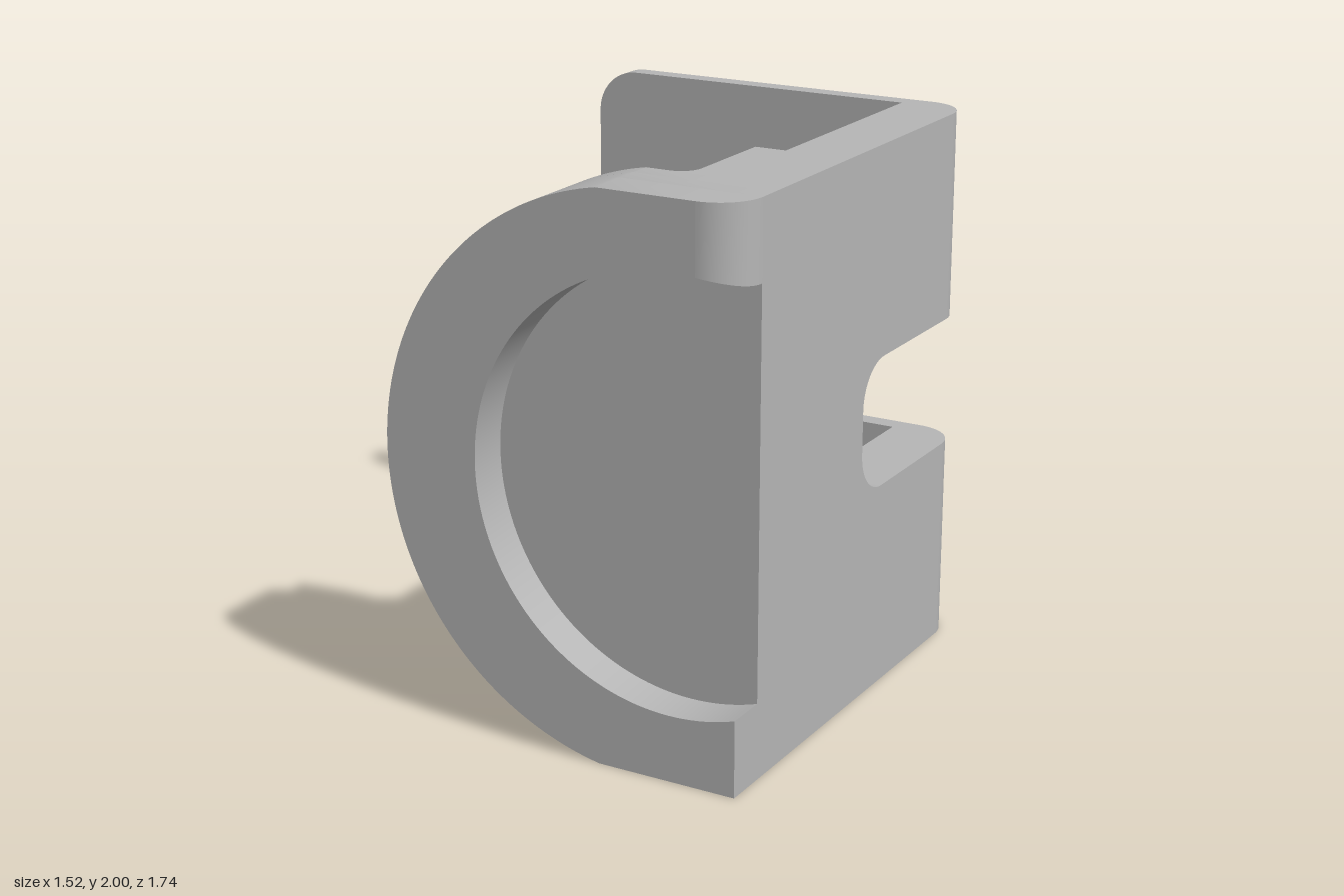
import * as THREE from 'three';
import { toCreasedNormals } from 'three/addons/utils/BufferGeometryUtils.js';

const X_RIGHT = 0.76, HEIGHT = 2, Z_FRONT = 0.87, FLOOR = 0.715, FILLET = 0.155;
const DISC = { x: 0.415, r: 1.015 };   // outer disc, centred at y = 1
const RECESS = { x: 0.52, r: 0.76 };   // round recess, centred at y = 1

export function createModel() {
  const group = new THREE.Group();
  const grey = new THREE.MeshStandardMaterial({ color: 0xb6b6b6 });
  grey.name = 'plain grey';

  const add = (name, geometry) => {
    const mesh = new THREE.Mesh(toCreasedNormals(geometry, 0.5), grey);
    mesh.name = name;
    group.add(mesh);
  };
  const extrude = (shape, from, to) =>
    new THREE.ExtrudeGeometry(shape, { depth: to - from, bevelEnabled: false, curveSegments: 48 })
      .translate(0, 0, from);
  // Shapes drawn with u = -z are turned to run along x; with v = -z, along y
  const alongX = (shape, from, to) => extrude(shape, from, to).rotateY(Math.PI / 2);
  const alongY = (shape, from, to) => extrude(shape, from, to).rotateX(-Math.PI / 2);
  const box = (name, x0, x1, y0, y1, z0, z1) =>
    add(name, new THREE.BoxGeometry(x1 - x0, y1 - y0, z1 - z0)
      .translate((x0 + x1) / 2, (y0 + y1) / 2, (z0 + z1) / 2));

  // Disc outline between its flat top and bottom, cut off left of xLeft
  const flatX = DISC.x - Math.sqrt(DISC.r ** 2 - 1);
  const discSide = (shape, xLeft) => {
    const top = Math.atan2(1, flatX - DISC.x);
    if (xLeft <= DISC.x - DISC.r) {
      shape.absarc(DISC.x, 1, DISC.r, top, 2 * Math.PI - top, false);
    } else {
      const cut = Math.acos((xLeft - DISC.x) / DISC.r);
      shape.absarc(DISC.x, 1, DISC.r, top, cut, false);
      shape.absarc(DISC.x, 1, DISC.r, 2 * Math.PI - cut, 2 * Math.PI - top, false);
    }
  };
  const discPlate = (xLeft, xRight) => {
    const s = new THREE.Shape().moveTo(xRight, HEIGHT).lineTo(flatX, HEIGHT);
    discSide(s, xLeft);
    s.lineTo(xRight, 0);
    return s;
  };

  // Side wall with a rounded slot open to the back
  const wall = new THREE.Shape()
    .moveTo(-0.63, 0).lineTo(FLOOR, 0).lineTo(FLOOR, 0.76).lineTo(0.2, 0.76);
  wall.absarc(0.2, 0.92, 0.16, -Math.PI / 2, -Math.PI, true);
  wall.absarc(0.2, 1.08, 0.16, Math.PI, Math.PI / 2, true);
  wall.lineTo(FLOOR, 1.24).lineTo(FLOOR, HEIGHT).lineTo(-0.63, HEIGHT);
  add('sideWall', alongX(wall, 0.52, X_RIGHT));

  // Thickened part of the wall and the fillet in its corner
  box('wallThickening', 0.405, 0.52, 0, HEIGHT, 0.105, 0.55);
  const cove = new THREE.Shape().moveTo(0.405, -0.55).lineTo(0.405, -0.475);
  cove.absarc(0.33, -0.475, 0.075, 0, -Math.PI / 2, true);
  add('innerFillet', alongY(cove, 0, HEIGHT));

  // Two back arms, each with a rounded bend
  const bend = new THREE.Shape()
    .moveTo(0.52, FLOOR).lineTo(X_RIGHT, FLOOR);
  bend.absarc(X_RIGHT - FILLET, FLOOR, FILLET, 0, Math.PI / 2, false);
  bend.lineTo(0.52, 0.87);
  for (const [name, y0, y1] of [['lower', 0, 0.76], ['upper', 1.24, HEIGHT]]) {
    const arm = new THREE.Shape().moveTo(0.52, y0).lineTo(0.52, y1).lineTo(-0.6, y1);
    arm.absarc(-0.6, y1 - 0.16, 0.16, Math.PI / 2, Math.PI, false);
    arm.absarc(-0.6, y0 + 0.16, 0.16, Math.PI, 1.5 * Math.PI, false);
    add(name + 'Arm', extrude(arm, -0.87, -0.8));
    add(name + 'ArmBend', alongY(bend, y0, y1));
  }

  // Front disc: inner ledge, floor plate, raised rim
  add('innerLedge', extrude(discPlate(-0.12, 0.52), 0.55, 0.63));
  add('discPlate', extrude(discPlate(-1, X_RIGHT), 0.63, FLOOR));

  const xFillet = X_RIGHT - FILLET;
  const recessY = (x) => Math.sqrt(RECESS.r ** 2 - (x - RECESS.x) ** 2);
  const rim = new THREE.Shape().moveTo(xFillet, HEIGHT).lineTo(flatX, HEIGHT);
  discSide(rim, -1);
  rim.lineTo(X_RIGHT, 0);
  rim.absarc(RECESS.x, 1, RECESS.r,
    Math.atan2(-recessY(X_RIGHT), X_RIGHT - RECESS.x),
    Math.atan2(recessY(xFillet), xFillet - RECESS.x) - 2 * Math.PI, true);
  add('discRim', extrude(rim, FLOOR, Z_FRONT));

  // Rounded upper front corner of the rim, bent from a box
  const corner = new THREE.BoxGeometry(1, 1, 1, 16, 1, 1);
  const p = corner.attributes.position;
  for (let i = 0; i < p.count; i++) {
    const a = (p.getX(i) + 0.5) * Math.PI / 2;
    const x = xFillet + FILLET * Math.sin(a);
    p.setXYZ(i, x,
      p.getY(i) > 0 ? HEIGHT : 1 + recessY(x),
      p.getZ(i) > 0 ? FLOOR + FILLET * Math.cos(a) : FLOOR);
  }
  add('rimRoundedCorner', corner);

  return group;
}
